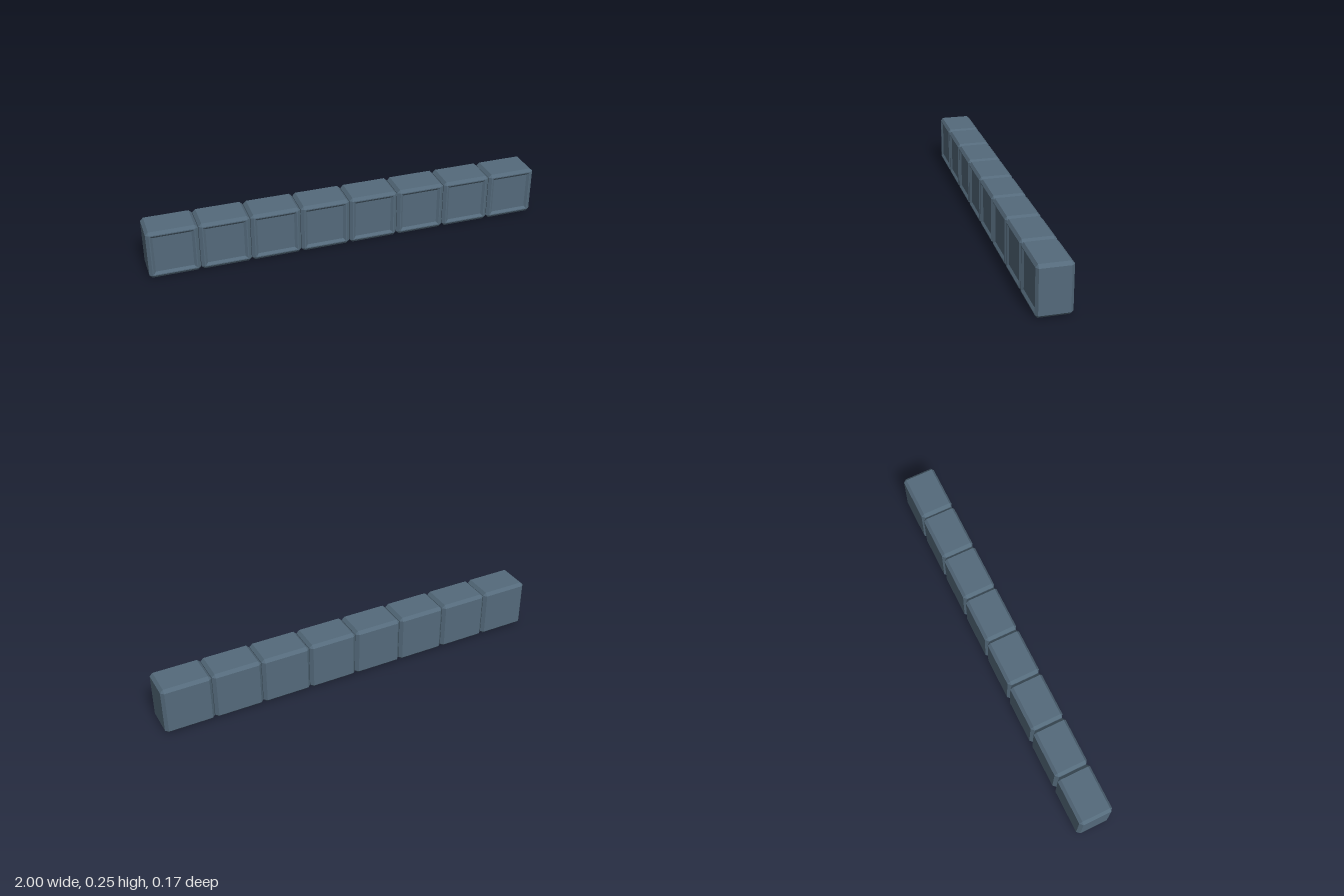
import * as THREE from 'three';

const COUNT = 8, W = 0.248, H = 0.25, D = 0.17, BEVEL = 0.015;

// Rectangle with cut corners, counter-clockwise seen from the front
function ring(z, inset, cut) {
  const hx = W / 2 - inset, hy = H / 2 - inset, pts = [];
  for (const [sx, sy] of [[1, -1], [1, 1], [-1, 1], [-1, -1]]) {
    const a = new THREE.Vector3(sx * (hx - cut), sy * hy, z);
    const b = new THREE.Vector3(sx * hx, sy * (hy - cut), z);
    pts.push(...(sx * sy < 0 ? [a, b] : [b, a]));
  }
  return pts;
}

function blockGeometry() {
  const f = D / 2;
  const rings = [
    ring(-f, BEVEL, 0),              // back face
    ring(-f + BEVEL, 0, BEVEL),      // back bevel
    ring(f - 0.011, 0, BEVEL),       // sides
    ring(f, BEVEL, 0),               // front bevel
    ring(f, BEVEL + 0.005, 0),       // flat rim
    ring(f - 0.009, BEVEL + 0.017, 0), // sloped wall of the recessed panel
  ];
  const pos = [];
  const tri = (a, b, c) => {
    if (new THREE.Triangle(a, b, c).getArea() > 1e-9) {
      for (const p of [a, b, c]) pos.push(p.x, p.y, p.z);
    }
  };
  for (let r = 0; r < rings.length - 1; r++) {
    const a = rings[r], b = rings[r + 1];
    for (let i = 0; i < 8; i++) {
      const j = (i + 1) % 8;
      tri(a[i], a[j], b[j]);
      tri(a[i], b[j], b[i]);
    }
  }
  // Back and front caps
  const back = rings[0], front = rings[rings.length - 1];
  for (let i = 1; i < 7; i++) {
    tri(back[0], back[i + 1], back[i]);
    tri(front[0], front[i], front[i + 1]);
  }
  const g = new THREE.BufferGeometry();
  g.setAttribute('position', new THREE.Float32BufferAttribute(pos, 3));
  g.computeVertexNormals();
  return g;
}

export function createModel() {
  const group = new THREE.Group();
  group.name = 'blockRow';
  const geometry = blockGeometry();
  const material = new THREE.MeshStandardMaterial({ color: 0x546a7b, flatShading: true });
  const pitch = (2 - W) / (COUNT - 1);
  // Row of equal bevelled blocks
  for (let i = 0; i < COUNT; i++) {
    const block = new THREE.Mesh(geometry, material);
    block.name = `block${i + 1}`;
    block.position.set((i - (COUNT - 1) / 2) * pitch, H / 2, 0);
    group.add(block);
  }
  return group;
}
